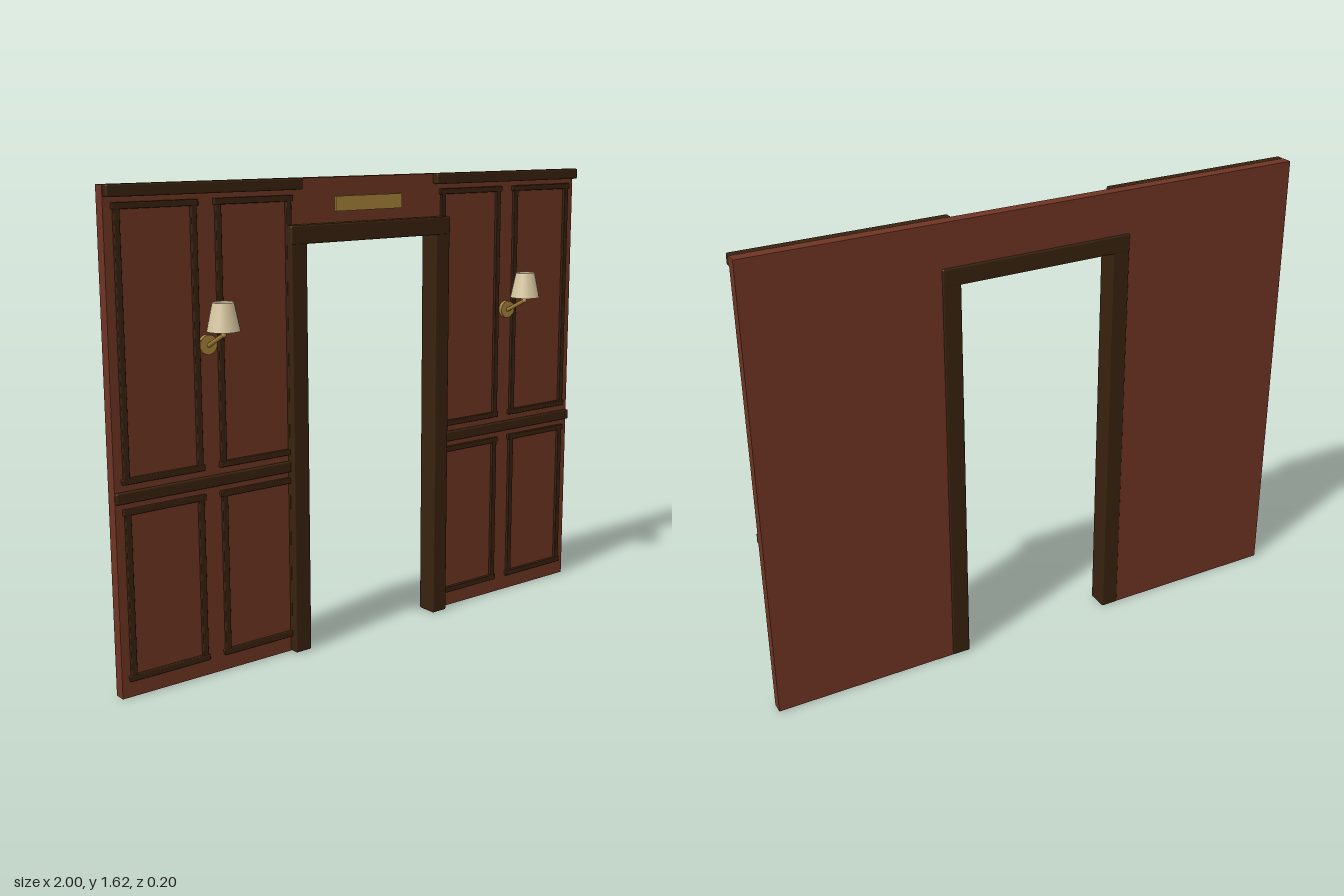
import * as THREE from 'three';
import { RoundedBoxGeometry } from 'three/addons/geometries/RoundedBoxGeometry.js';

const mat = (name, color, side = THREE.FrontSide) => {
  const m = new THREE.MeshStandardMaterial({ color, side });
  m.name = name;
  return m;
};

export function createModel() {
  const root = new THREE.Group();
  root.name = 'panelledDoorway';
  const wall = mat('redWood', 0x6e3423);
  const trim = mat('darkWood', 0x38220e);
  const brass = mat('brass', 0xa58038);
  const cloth = mat('lampCloth', 0xd8c7a0, THREE.DoubleSide);

  const add = (parent, name, geometry, material, x = 0, y = 0, z = 0) => {
    const mesh = new THREE.Mesh(geometry, material);
    mesh.name = name;
    mesh.position.set(x, y, z);
    parent.add(mesh);
    return mesh;
  };
  // box given by its limits; a bevel above zero softens the edges
  const box = (parent, name, material, x0, x1, y0, y1, z0, z1, bevel = 0) => {
    const size = [Math.abs(x1 - x0), y1 - y0, z1 - z0];
    const g = bevel ? new RoundedBoxGeometry(...size, 2, bevel) : new THREE.BoxGeometry(...size);
    return add(parent, name, g, material, (x0 + x1) / 2, (y0 + y1) / 2, (z0 + z1) / 2);
  };

  const BACK = -0.095, FACE = -0.055;

  // raised moulding around one panel
  const panel = (parent, xa, xb, y0, y1) => {
    const g = new THREE.Group();
    g.name = 'panelMoulding';
    parent.add(g);
    const w = 0.02, lip = 0.006;
    const x0 = Math.min(xa, xb), x1 = Math.max(xa, xb);
    for (const y of [y0, y1 - w]) box(g, 'mouldingRail', trim, x0, x1, y, y + w, FACE - 0.003, -0.043, 0.003);
    for (const x of [x0 + lip, x1 - lip - w]) box(g, 'mouldingStile', trim, x, x + w, y0 + 0.003, y1 - 0.003, FACE - 0.003, -0.044, 0.003);
  };

  // wall lamp: back plate, slanted arm and open shade
  const lamp = (parent, x) => {
    const g = new THREE.Group();
    g.name = 'wallLamp';
    g.position.x = x;
    parent.add(g);
    add(g, 'backPlate', new THREE.CylinderGeometry(0.032, 0.032, 0.015, 20), brass, 0, 1.11, -0.048).rotation.x = Math.PI / 2;
    const a = new THREE.Vector3(0, 1.105, -0.048), b = new THREE.Vector3(0, 1.152, 0.047);
    add(g, 'arm', new THREE.TubeGeometry(new THREE.LineCurve3(a, b), 1, 0.007, 10), brass);
    add(g, 'armTip', new THREE.SphereGeometry(0.009, 12, 8), brass, 0, b.y, b.z);
    add(g, 'shade', new THREE.CylinderGeometry(0.034, 0.053, 0.09, 24, 1, true), cloth, 0, 1.21, 0.048);
  };

  // the two wall halves
  for (const s of [-1, 1]) {
    const half = new THREE.Group();
    half.name = s > 0 ? 'leftWall' : 'rightWall';
    root.add(half);
    box(half, 'wallBoard', wall, s * 0.29, s, 0, 1.62, BACK, FACE);
    box(half, 'crownMoulding', trim, s * 0.29, s, 1.584, 1.622, FACE - 0.002, -0.028, 0.006);
    box(half, 'chairRail', trim, s * 0.3, s, 0.643, 0.68, FACE - 0.002, -0.04, 0.005);
    for (const [y0, y1] of [[0.055, 0.623], [0.702, 1.567]]) {
      panel(half, s * 0.32, s * 0.62, y0, y1);
      panel(half, s * 0.677, s * 0.975, y0, y1);
    }
    lamp(half, s * 0.655);
    box(half, 'doorJamb', trim, s * 0.28, s * 0.345, 0, 1.42, -0.1, -0.022, 0.006);
  }

  // above the opening
  box(root, 'headerBoard', wall, -0.29, 0.29, 1.42, 1.62, BACK, FACE);
  box(root, 'doorHead', trim, -0.345, 0.345, 1.408, 1.47, -0.101, -0.02, 0.006);
  box(root, 'plaque', brass, -0.143, 0.143, 1.507, 1.557, FACE, -0.047);

  return root;
}
